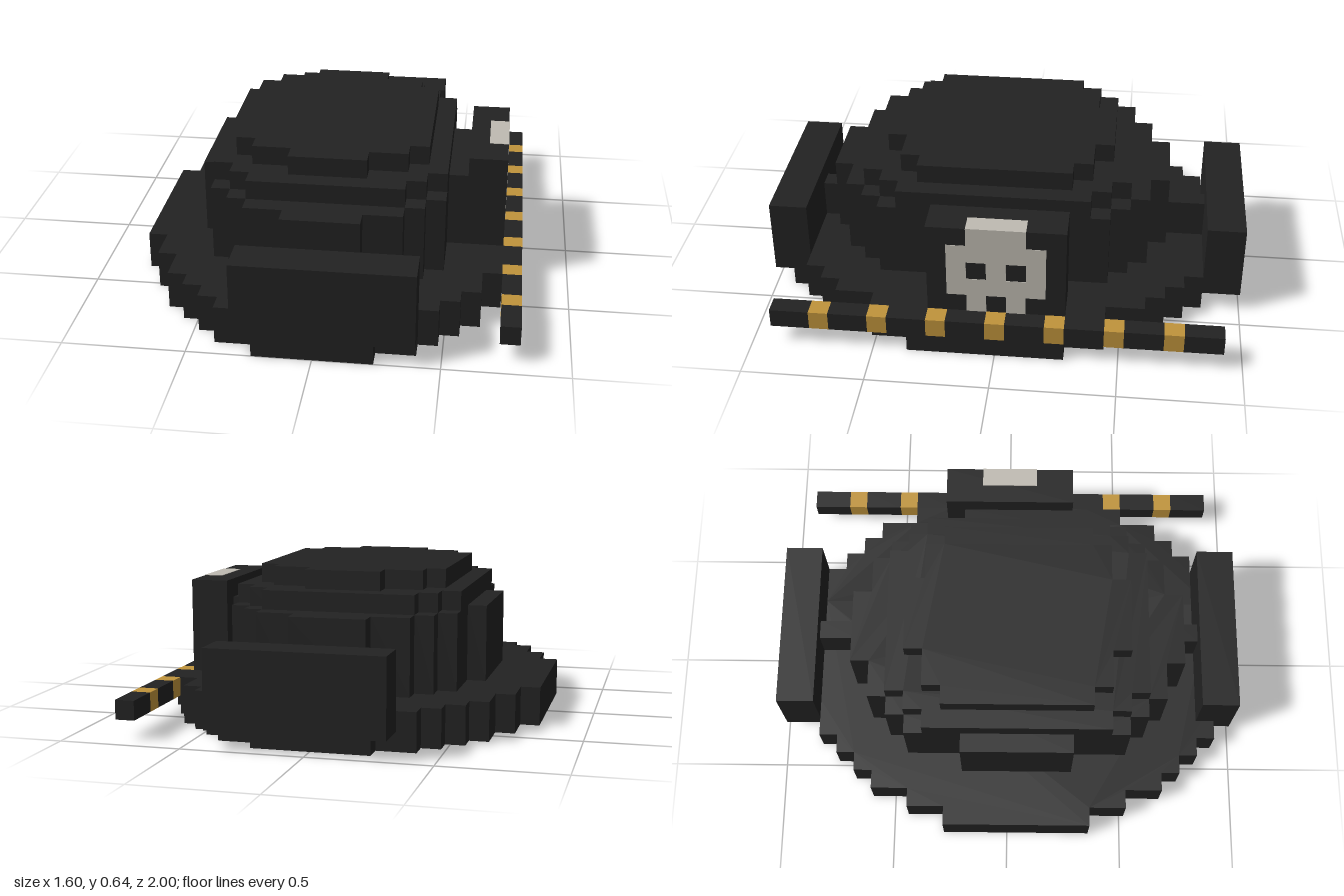
import * as THREE from 'three';

const black = new THREE.MeshStandardMaterial({ color: 0x222222 });
black.name = 'black felt';
const gold = new THREE.MeshStandardMaterial({ color: 0xc0943b });
gold.name = 'gold trim';
const bone = new THREE.MeshStandardMaterial({ color: 0xbfbbb2 });
bone.name = 'bone white';

function box(name, material, [x0, x1], [y0, y1], [z0, z1]) {
  const geometry = new THREE.BoxGeometry(x1 - x0, y1 - y0, z1 - z0);
  geometry.translate((x0 + x1) / 2, (y0 + y1) / 2, (z0 + z1) / 2);
  const mesh = new THREE.Mesh(geometry, material);
  mesh.name = name;
  return mesh;
}

// Stepped oval slab: steps are [half width, half length], widest first
function steppedOval(name, steps, y0, y1, maxX = 1) {
  const quarter = [];
  steps.forEach(([x, z], i) => {
    quarter.push([x, i ? steps[i - 1][1] : 0], [x, z]);
  });
  quarter.shift();
  const back = [...quarter].reverse();
  const points = [
    ...quarter,
    ...back.map(([x, z]) => [-x, z]),
    ...quarter.map(([x, z]) => [-x, -z]),
    ...back.map(([x, z]) => [x, -z]),
  ].map(([x, z]) => new THREE.Vector2(Math.min(x, maxX), z));
  const outline = points.filter((p, i) => i === 0 || !p.equals(points[i - 1]));
  const geometry = new THREE.ExtrudeGeometry(new THREE.Shape(outline), { depth: y1 - y0, bevelEnabled: false });
  geometry.rotateX(-Math.PI / 2).translate(0, y0, 0.04);
  const mesh = new THREE.Mesh(geometry, black);
  mesh.name = name;
  return mesh;
}

const path = (pairs) => pairs.map(([x, y]) => new THREE.Vector2(x, y));

export function createModel() {
  const model = new THREE.Group();
  model.name = 'hat';

  // Brim, notched on one side to seat the trim
  const brim = [[0.8, 0.32], [0.72, 0.48], [0.64, 0.64], [0.56, 0.72], [0.48, 0.8], [0.4, 0.88], [0.24, 0.96]];
  model.add(steppedOval('lowerBrim', brim, 0, 0.08));
  model.add(steppedOval('upperBrim', brim, 0.08, 0.16, 0.72));

  // Crown in three tiers
  model.add(steppedOval('crownBase', [[0.56, 0.24], [0.48, 0.48], [0.4, 0.56], [0.32, 0.64], [0.16, 0.72]], 0.16, 0.48));
  model.add(steppedOval('crownMiddle', [[0.48, 0.4], [0.4, 0.48], [0.32, 0.56]], 0.48, 0.56));
  model.add(steppedOval('crownTop', [[0.4, 0.32], [0.32, 0.4], [0.16, 0.48]], 0.56, 0.64));

  // Turned-up flaps with their connecting tabs
  model.add(box('frontFlap', black, [-0.32, 0.4], [0.08, 0.4], [0.84, 1]));
  model.add(box('backFlap', black, [-0.32, 0.4], [0.08, 0.4], [-1, -0.84]));
  model.add(box('frontTab', black, [0, 0.08], [0.16, 0.32], [0.76, 0.84]));
  model.add(box('backTab', black, [0, 0.08], [0.16, 0.32], [-0.84, -0.68]));
  model.add(box('sideFlap', black, [0.56, 0.72], [0.16, 0.56], [-0.28, 0.28]));

  // Skull badge set into the side flap, with open eyes and nose
  const skull = new THREE.Shape(path([
    [-0.12, 0.16], [-0.04, 0.16], [-0.04, 0.24], [0.04, 0.24], [0.04, 0.16], [0.12, 0.16],
    [0.12, 0.24], [0.2, 0.24], [0.2, 0.48], [0.12, 0.48], [0.12, 0.562],
    [-0.12, 0.562], [-0.12, 0.48], [-0.2, 0.48], [-0.2, 0.24], [-0.12, 0.24],
  ]));
  for (const s of [-0.08, 0.08]) {
    skull.holes.push(new THREE.Path(path([
      [s - 0.04, 0.32], [s - 0.04, 0.4], [s + 0.04, 0.4], [s + 0.04, 0.32],
    ])));
  }
  const skullGeometry = new THREE.ExtrudeGeometry(skull, { depth: 0.082, bevelEnabled: false });
  skullGeometry.rotateY(Math.PI / 2).translate(0.64, 0, 0);
  const badge = new THREE.Mesh(skullGeometry, bone);
  badge.name = 'skullBadge';
  model.add(badge);

  // Trim rod: gold studs alternating with black lengths
  const trim = new THREE.Group();
  trim.name = 'trim';
  let start = -0.92;
  for (let i = -3; i <= 3; i++) {
    const z = i * 0.24;
    trim.add(box('trimLength', black, [0.72, 0.8], [0.08, 0.16], [start, z - 0.04]));
    trim.add(box('trimStud', gold, [0.72, 0.8], [0.08, 0.16], [z - 0.04, z + 0.04]));
    start = z + 0.04;
  }
  trim.add(box('trimLength', black, [0.72, 0.8], [0.08, 0.16], [start, 0.92]));
  model.add(trim);

  return model;
}
